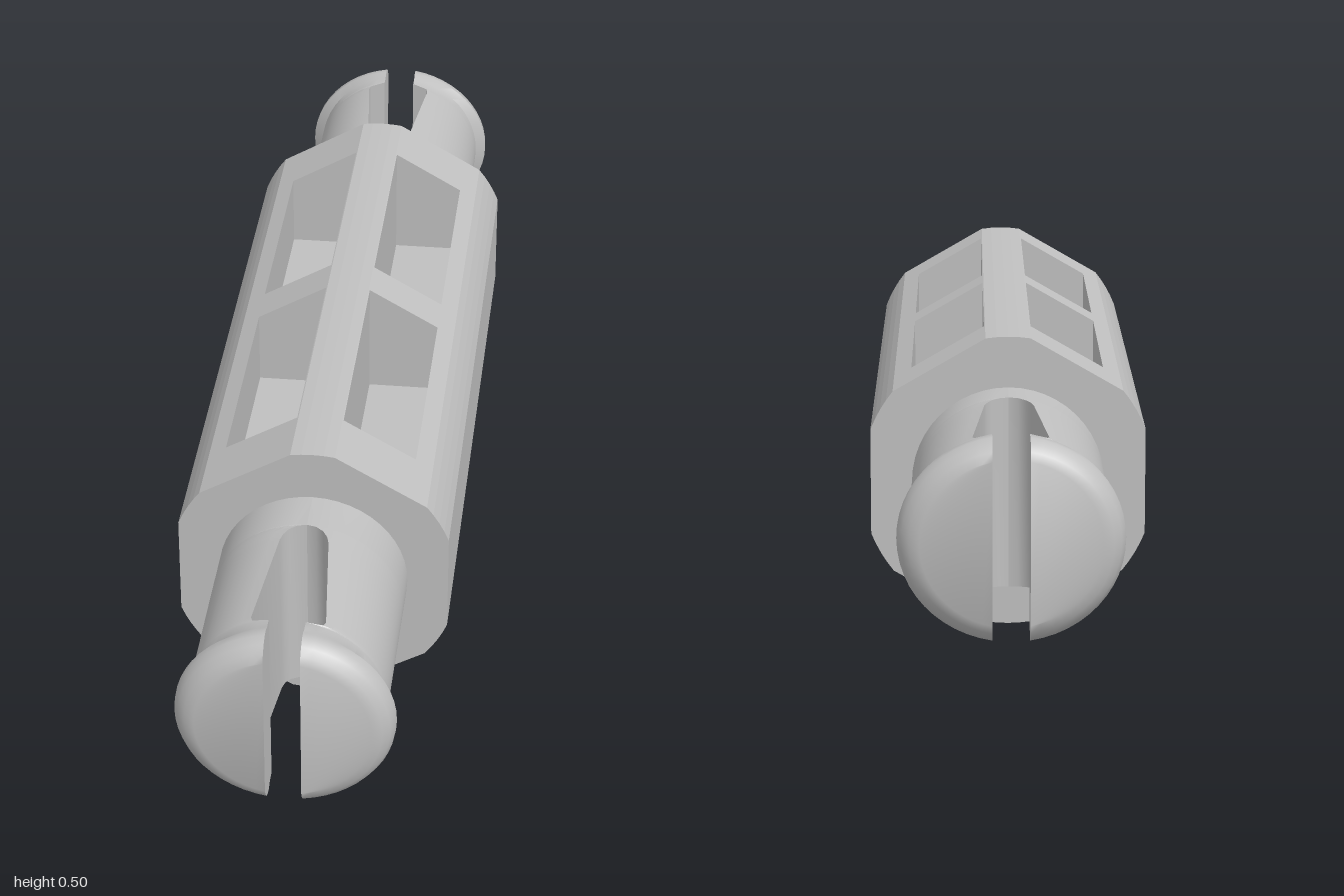
import * as THREE from 'three';
import { toCreasedNormals } from 'three/addons/utils/BufferGeometryUtils.js';

const CY = 0.25;          // height of the long axis
const APOTHEM = 0.233;    // hexagon flat distance
const RADIUS = 0.25;      // circle that trims the hexagon corners
const BODY = 0.58, POCKET_NEAR = 0.04, POCKET_FAR = 0.465;

// Trimmed hexagon outline, optionally with the four pockets cut in
function bodyShape(notched) {
  const rad = THREE.MathUtils.degToRad;
  const at = (deg) => [RADIUS * Math.cos(rad(deg)), RADIUS * Math.sin(rad(deg))];
  const slope = (x) => (APOTHEM - x * 0.5) / Math.sin(rad(60));
  const inner = 0.04, outer = 0.165, floor = 0.04;
  const quarter = [at(21.25), at(25.6), at(30), at(34.4), at(38.75)];
  if (notched) {
    quarter.push([outer, slope(outer)], [outer, floor], [inner, floor], [inner, slope(inner)]);
  }
  quarter.push(at(81.25), at(85.6));
  const back = [...quarter].reverse();
  const points = [
    ...quarter, [0, RADIUS],
    ...back.map(([x, y]) => [-x, y]),
    ...quarter.map(([x, y]) => [-x, -y]), [0, -RADIUS],
    ...back.map(([x, y]) => [x, -y]),
  ];
  return new THREE.Shape(points.map(([x, y]) => new THREE.Vector2(x, y)));
}

// Pin stations: z, half width, half height, half slot width
const STATIONS = [
  [0.57, 0.163, 0.163, 0],
  [0.66, 0.163, 0.163, 0],
  [0.663, 0.163, 0.163, 0.016],
  [0.672, 0.163, 0.163, 0.029],
  [0.685, 0.163, 0.163, 0.037],
  [0.70, 0.163, 0.163, 0.041],
  [0.905, 0.163, 0.163, 0.061],
  [0.915, 0.163, 0.163, 0.058],
  [0.92, 0.163, 0.163, 0.03],
  [0.94, 0.163, 0.164, 0.03],
  [0.955, 0.182, 0.169, 0.03],
  [0.968, 0.181, 0.168, 0.03],
  [0.982, 0.174, 0.161, 0.03],
  [0.993, 0.162, 0.150, 0.03],
  [1.0, 0.145, 0.136, 0.03],
];

// One prong: an ellipse arc closed by the flat slot wall, lofted along z
function prongGeometry() {
  const N = 24, row = N + 1;
  const pos = [], index = [];
  for (const [z, rx, ry, slot] of STATIONS) {
    const a = Math.acos(slot / rx);
    for (let j = 0; j <= N; j++) {
      const t = -a + (2 * a * j) / N;
      pos.push(rx * Math.cos(t), ry * Math.sin(t), z);
    }
  }
  for (let i = 0; i < STATIONS.length - 1; i++) {
    const hasWall = STATIONS[i + 1][3] > 0;
    for (let j = 0; j < (hasWall ? row : N); j++) {
      const k = (j + 1) % row;
      const a = i * row + j, b = i * row + k, c = b + row, d = a + row;
      index.push(a, b, c, a, c, d);
    }
  }
  // flat end face
  const last = (STATIONS.length - 1) * row;
  for (let j = 1; j < N; j++) index.push(last, last + j, last + j + 1);
  const g = new THREE.BufferGeometry();
  g.setAttribute('position', new THREE.Float32BufferAttribute(pos, 3));
  g.setIndex(index);
  return toCreasedNormals(g, 0.65);
}

export function createModel() {
  const model = new THREE.Group();
  model.name = 'hexSpacer';
  const grey = new THREE.MeshStandardMaterial({ color: 0xc0c0c0 });
  grey.name = 'lightGrey';

  // Hexagonal body: solid end blocks and middle, pocketed lengths between
  const body = new THREE.Group();
  body.name = 'hexBody';
  const addSlice = (name, z0, z1, notched) => {
    const g = new THREE.ExtrudeGeometry(bodyShape(notched), { depth: z1 - z0, bevelEnabled: false });
    const mesh = new THREE.Mesh(g, grey);
    mesh.name = name;
    mesh.position.z = z0;
    body.add(mesh);
  };
  addSlice('backEndBlock', -BODY, -POCKET_FAR, false);
  addSlice('backPocketedLength', -POCKET_FAR, -POCKET_NEAR, true);
  addSlice('middleRib', -POCKET_NEAR, POCKET_NEAR, false);
  addSlice('frontPocketedLength', POCKET_NEAR, POCKET_FAR, true);
  addSlice('frontEndBlock', POCKET_FAR, BODY, false);
  body.position.y = CY;
  model.add(body);

  // Split snap pin at each end, two prongs each
  const prong = prongGeometry();
  for (const end of ['front', 'back']) {
    const pin = new THREE.Group();
    pin.name = end + 'SnapPin';
    for (const turn of [0, Math.PI]) {
      const mesh = new THREE.Mesh(prong, grey);
      mesh.name = end + (turn ? 'SecondProng' : 'FirstProng');
      mesh.rotation.z = turn;
      pin.add(mesh);
    }
    pin.position.y = CY;
    if (end === 'back') pin.rotation.y = Math.PI;
    model.add(pin);
  }
  return model;
}
